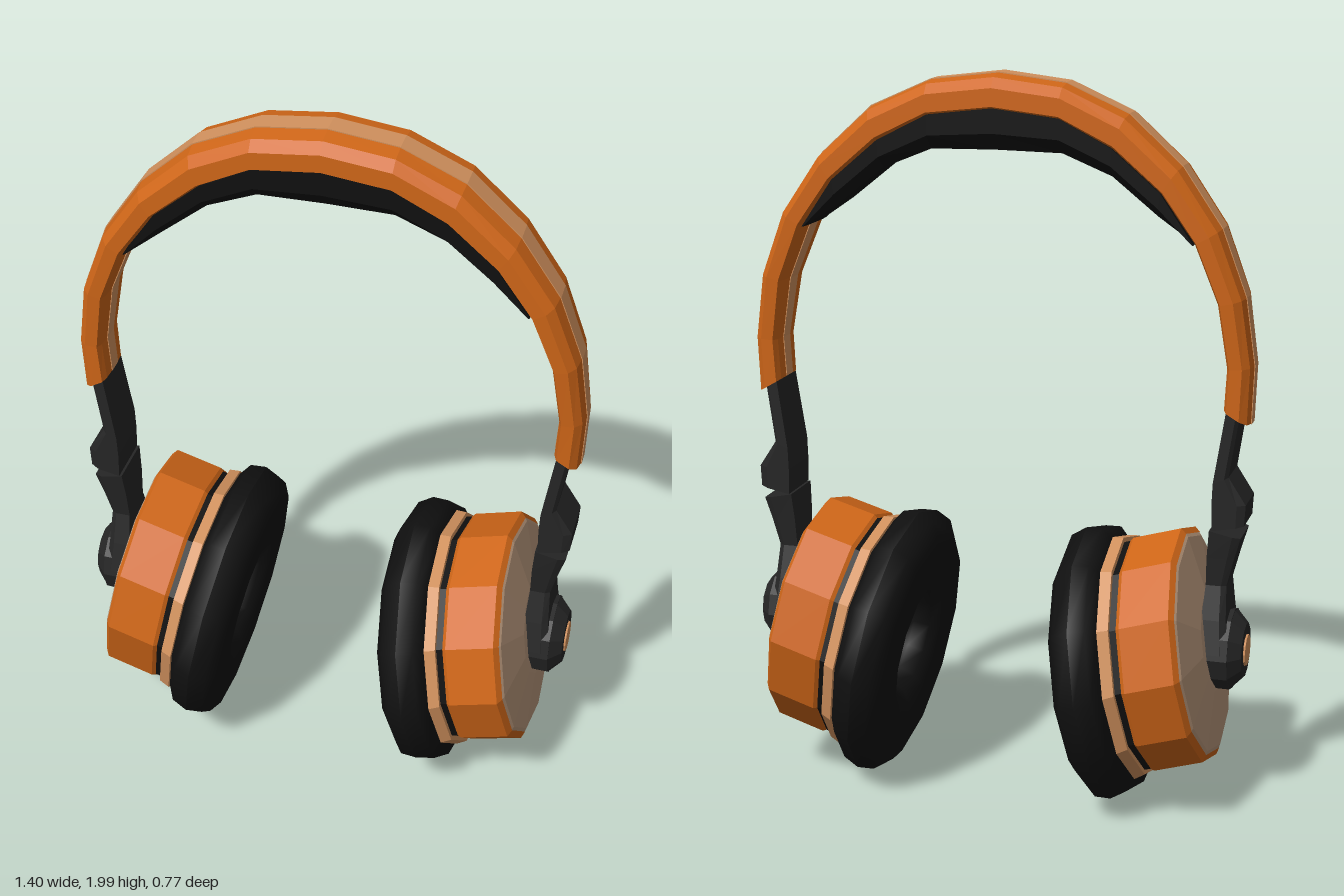
import * as THREE from 'three';

const V = (x, y, z) => new THREE.Vector3(x, y, z);
const paint = (color, smooth = false) =>
  new THREE.MeshStandardMaterial({ color, flatShading: !smooth });
const ORANGE = paint(0xcf6618), COPPER = paint(0xd2925e), BEIGE = paint(0xb9987c);
const BLACK = paint(0x101010), CUSHION = paint(0x101010, true), DARK = paint(0x252525);

function add(parent, name, geometry, material) {
  const mesh = new THREE.Mesh(geometry, material);
  mesh.name = name;
  parent.add(mesh);
  return mesh;
}

// Skin a list of equal-length loops and close both ends
function loft(sections) {
  const n = sections[0].length, last = (sections.length - 1) * n, index = [];
  for (let i = 0; i < last; i += n) {
    for (let j = 0; j < n; j++) {
      const k = (j + 1) % n;
      index.push(i + j, i + k, i + n + k, i + j, i + n + k, i + n + j);
    }
  }
  for (let j = 1; j < n - 1; j++) {
    index.push(0, j + 1, j, last, last + j, last + j + 1);
  }
  const g = new THREE.BufferGeometry().setFromPoints(sections.flat());
  g.setIndex(index);
  g.computeVertexNormals();
  return g;
}

// Loop between an outer and an inner [x, y] point; profile holds [z, depth 0..1]
const section = (outer, inner, w, profile) => profile.map(([z, d]) =>
  V(outer[0] + (inner[0] - outer[0]) * d, outer[1] + (inner[1] - outer[1]) * d, z * w));

// Mirror a half row of stations, listed from the top centre down to +x
const mirrorRow = (half) => [
  ...half.slice(1).reverse().map(([o, i, w]) => [[-o[0], o[1]], [-i[0], i[1]], w]), ...half];

const BAND_PROFILE = [[-0.3, 0], [0.3, 0], [0.75, 0.08], [1, 0.35], [1, 0.85], [0.75, 0.97],
  [0.3, 1], [-0.3, 1], [-0.75, 0.97], [-1, 0.85], [-1, 0.35], [-0.75, 0.08]];
const STRIPE_PROFILE = [[-0.3, -0.03], [0.3, -0.03], [0.3, 1.03], [-0.3, 1.03]];
const PAD_PROFILE = [[-0.9, -0.1], [0.9, -0.1], [0.9, 0.55], [0.5, 1], [-0.5, 1], [-0.9, 0.55]];
const ARM_PROFILE = [[-0.85, 0], [0.85, 0], [1, 0.25], [1, 1], [-1, 1], [-1, 0.25]];

// Outer point, inner point, half width
const BAND = [
  [[0, 1.997], [0, 1.9], 0.1],
  [[0.185, 1.975], [0.18, 1.88], 0.1],
  [[0.354, 1.9], [0.32, 1.81], 0.1],
  [[0.497, 1.77], [0.45, 1.7], 0.1],
  [[0.605, 1.612], [0.54, 1.575], 0.098],
  [[0.672, 1.434], [0.603, 1.42], 0.09],
  [[0.698, 1.254], [0.63, 1.25], 0.077],
  [[0.693, 1.097], [0.624, 1.138], 0.073],
];
const PAD_BOTTOM = [[0, 1.798], [0.18, 1.795], [0.315, 1.74], [0.44, 1.64], [0.535, 1.574]];

// Ear cup profiles as [radius, distance along the cup axis]
const CUP_PARTS = [
  ['speakerPlate', BEIGE, [[0, 0.03], [0.24, 0.03]]],
  ['cupSeal', BLACK, [[0, 0.045], [0.3, 0.045], [0.322, 0.065], [0.322, 0.12], [0, 0.12]]],
  ['trimRing', COPPER, [[0.3, 0.062], [0.343, 0.07], [0.335, 0.1], [0.3, 0.1]]],
  ['cupShell', ORANGE, [[0.3, 0.112], [0.32, 0.115], [0.329, 0.128], [0.328, 0.264], [0.31, 0.276]]],
  ['cupCap', BEIGE, [[0.318, 0.27], [0.3, 0.28], [0.14, 0.306], [0, 0.308]]],
];

// Lay a lathe on its side, lean it, tilt it and move it to the ear
const TILT = THREE.MathUtils.degToRad(10);
const LEAN = new THREE.Matrix4().set(1, 0, 0, 0, 0.12, 1, 0, 0, 0, 0, 1, 0, 0, 0, 0, 1);
const CUP_MATRIX = new THREE.Matrix4().makeTranslation(0.31, 0.385, 0)
  .multiply(new THREE.Matrix4().makeRotationZ(TILT))
  .multiply(LEAN)
  .multiply(new THREE.Matrix4().makeRotationZ(-Math.PI / 2));
const cupLathe = (points) =>
  new THREE.LatheGeometry(points.map(([r, a]) => new THREE.Vector2(r, a)), 12).applyMatrix4(CUP_MATRIX);

function earCup() {
  const cup = new THREE.Group();
  cup.name = 'earCup';
  for (const [name, material, points] of CUP_PARTS) add(cup, name, cupLathe(points), material);

  // Padded ring with a squarish round section
  const soft = (v) => Math.sign(v) * Math.abs(v) ** 0.75;
  const ring = [];
  for (let i = 0; i <= 12; i++) {
    const t = (i / 12) * Math.PI * 2;
    ring.push([0.262 + 0.123 * soft(Math.cos(t)), 0.076 * soft(Math.sin(t))]);
  }
  add(cup, 'earCushion', cupLathe(ring), CUSHION);
  return cup;
}

function arm() {
  const group = new THREE.Group();
  group.name = 'arm';
  const bar = (name, rows) =>
    add(group, name, loft(rows.map(([o, i, w]) => section(o, i, w, ARM_PROFILE))), DARK);

  // Slider above the hinge slit
  bar('armSlider', [
    [[0.672, 1.14], [0.638, 1.16], 0.07],
    [[0.645, 0.957], [0.605, 0.94], 0.074],
    [[0.693, 0.883], [0.603, 0.88], 0.074],
    [[0.69, 0.825], [0.605, 0.808], 0.074],
  ]);
  // Yoke from the slit down to the hub
  bar('armYoke', [
    [[0.682, 0.79], [0.598, 0.808], 0.074],
    [[0.665, 0.73], [0.592, 0.73], 0.065],
    [[0.645, 0.65], [0.59, 0.65], 0.056],
    [[0.65, 0.56], [0.585, 0.56], 0.085],
    [[0.66, 0.47], [0.585, 0.47], 0.11],
  ]);

  // Pivot hub and its button
  const disc = (name, top, bottom, x0, x1, material) => add(group, name,
    new THREE.CylinderGeometry(top, bottom, x1 - x0, 12)
      .rotateZ(-Math.PI / 2).translate((x0 + x1) / 2, 0.455, 0), material);
  disc('pivotBase', 0.113, 0.113, 0.585, 0.662, DARK);
  disc('pivotHub', 0.075, 0.11, 0.662, 0.695, DARK);
  disc('pivotButton', 0.043, 0.046, 0.69, 0.7, COPPER);
  return group;
}

export function createModel() {
  const model = new THREE.Group();
  model.name = 'headphones';

  // Headband with its centre stripe and inner padding
  const band = mirrorRow(BAND);
  const sweep = (rows, profile) => loft(rows.map(([o, i, w]) => section(o, i, w, profile)));
  add(model, 'headband', sweep(band, BAND_PROFILE), ORANGE);
  add(model, 'headbandStripe', sweep(band, STRIPE_PROFILE), COPPER);
  const pad = mirrorRow(PAD_BOTTOM.map((p, k) => [BAND[k][1], p, BAND[k][2]]));
  add(model, 'headbandPad', sweep(pad, PAD_PROFILE), BLACK);

  // Each side is the other turned half way round
  for (const [name, turn] of [['leftSide', 0], ['rightSide', Math.PI]]) {
    const side = new THREE.Group();
    side.name = name;
    side.add(earCup(), arm());
    side.rotation.y = turn;
    model.add(side);
  }
  return model;
}
